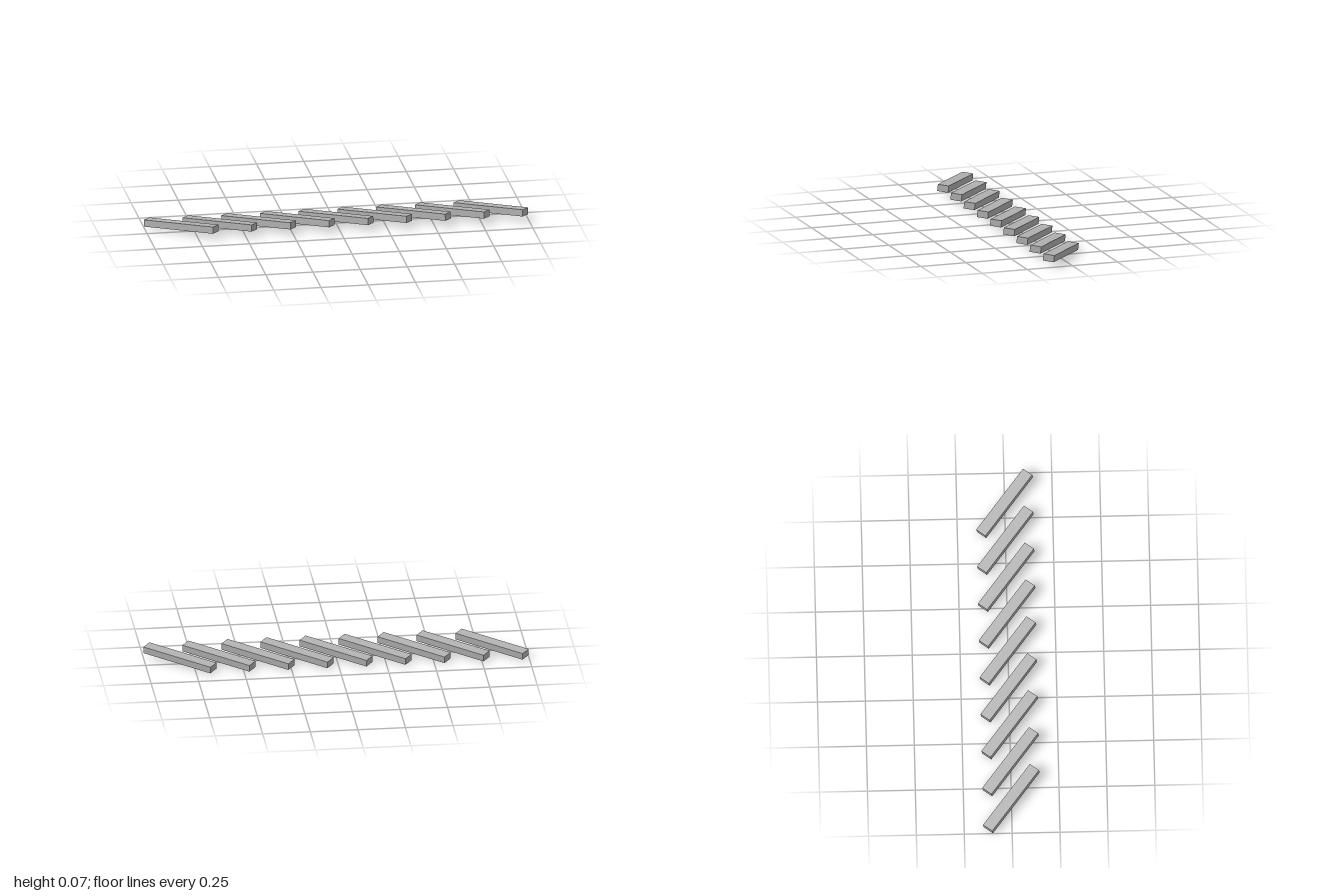
import * as THREE from 'three';

export function createModel() {
  const model = new THREE.Group();
  model.name = 'slatRow';
  const grey = new THREE.MeshStandardMaterial({ color: 0xb4b4b4 });
  grey.name = 'light grey';

  const count = 9, pitch = 0.205;
  const slat = new THREE.BoxGeometry(0.41, 0.036, 0.06);

  // Row of identical slats, each turned diagonally and tipped up at the front
  for (let i = 0; i < count; i++) {
    const mesh = new THREE.Mesh(slat, grey);
    mesh.name = `slat${i + 1}`;
    mesh.rotation.set(-0.107, THREE.MathUtils.degToRad(-38), 0);
    mesh.position.set((i - (count - 1) / 2) * pitch, 0.034, 0);
    model.add(mesh);
  }
  return model;
}
